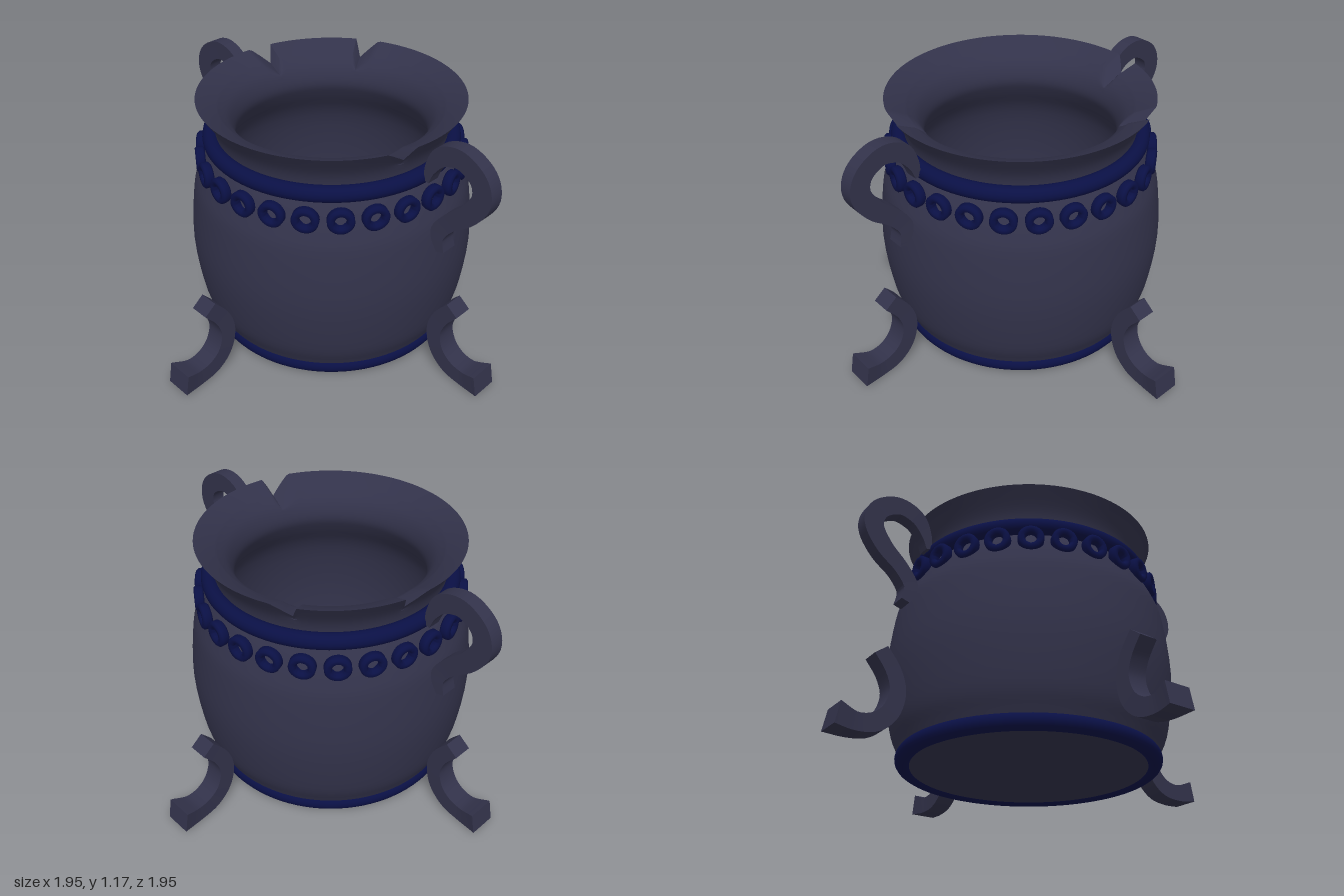
import * as THREE from 'three';
import { toCreasedNormals } from 'three/addons/utils/BufferGeometryUtils.js';

const iron = new THREE.MeshStandardMaterial({ color: 0x32324a });
const navy = new THREE.MeshStandardMaterial({ color: 0x0a1045 });

const vectors = (list) => list.map(([x, y]) => new THREE.Vector2(x, y));
const smooth = (list, n) => new THREE.SplineCurve(vectors(list)).getPoints(n);

function mesh(name, geometry, material) {
  const m = new THREE.Mesh(geometry, material);
  m.name = name;
  return m;
}

// Rectangular bar swept along a path in the xy plane; stations are [x, y, thickness, width]
function sweptBar(stations, steps) {
  const path = new THREE.SplineCurve(vectors(stations));
  const size = new THREE.SplineCurve(vectors(stations.map((s) => [s[2], s[3]])));
  const pos = [], idx = [];
  for (let i = 0; i <= steps; i++) {
    const p = path.getPoint(i / steps), t = path.getTangent(i / steps), s = size.getPoint(i / steps);
    for (const [a, b] of [[1, 1], [-1, 1], [-1, -1], [1, -1]]) {
      pos.push(p.x - t.y * a * s.x / 2, p.y + t.x * a * s.x / 2, b * s.y / 2);
    }
    if (i === steps) break;
    for (let j = 0; j < 4; j++) {
      const a = i * 4 + j, b = i * 4 + (j + 1) % 4;
      idx.push(a, b, b + 4, a, b + 4, a + 4);
    }
  }
  const e = steps * 4;
  idx.push(3, 2, 1, 3, 1, 0, e, e + 1, e + 2, e, e + 2, e + 3);
  const g = new THREE.BufferGeometry();
  g.setAttribute('position', new THREE.Float32BufferAttribute(pos, 3));
  g.setIndex(idx);
  return toCreasedNormals(g, 0.7);
}

// Thick pot wall with three V-shaped chips in the flared rim
function potGeometry() {
  const outer = smooth([[0.57, 0.02], [0.6, 0.09], [0.64, 0.2], [0.667, 0.45], [0.645, 0.7], [0.615, 0.8],
    [0.575, 0.88], [0.535, 0.94], [0.527, 0.99], [0.545, 1.06], [0.605, 1.155]], 40);
  const inner = smooth([[0.515, 1.115], [0.46, 1.06], [0.436, 0.98], [0.47, 0.9], [0.56, 0.74],
    [0.59, 0.45], [0.55, 0.18], [0.46, 0.08]], 28);
  const profile = [new THREE.Vector2(0, 0.02), ...outer, ...inner, new THREE.Vector2(0, 0.08)];
  const g = new THREE.LatheGeometry(profile, 240);
  const p = g.attributes.position;
  // [angle, spread below, spread above] in degrees
  const chips = [[103.5, 2.5, 10], [-78, 8, 3], [-30, 3, 8]];
  for (let i = 0; i < p.count; i++) {
    const x = p.getX(i), y = p.getY(i), z = p.getZ(i), r = Math.hypot(x, z);
    if (y < 1.05) continue;
    const angle = THREE.MathUtils.radToDeg(Math.atan2(z, x));
    let cut = 0;
    for (const [at, low, high] of chips) {
      const d = angle - at;
      cut = Math.max(cut, 1 - (d < 0 ? -d / low : d / high));
    }
    cut *= Math.min(1, (y - 1.05) / 0.08);
    const k = (r - 0.05 * cut) / r;
    p.setXYZ(i, x * k, y - 0.075 * cut, z * k);
  }
  return toCreasedNormals(g, 0.6);
}

export function createModel() {
  const model = new THREE.Group();
  model.add(mesh('pot', potGeometry(), iron));

  // Round bands at the base and neck
  for (const [name, radius, tube, y] of [['baseBand', 0.567, 0.038, 0.045], ['neckBand', 0.55, 0.037, 0.967]]) {
    const band = mesh(name, new THREE.TorusGeometry(radius, tube, 16, 96).rotateX(Math.PI / 2), navy);
    band.position.y = y;
    model.add(band);
  }

  // Chain of small rings around the shoulder
  const ringProfile = vectors([[0.026, -0.012], [0.034, -0.022], [0.05, -0.022], [0.058, -0.014],
    [0.058, 0.014], [0.05, 0.022], [0.034, 0.022], [0.026, 0.012], [0.026, -0.012]]);
  const ringGeometry = toCreasedNormals(new THREE.LatheGeometry(ringProfile, 28).rotateX(Math.PI / 2), 0.9);
  const rings = new THREE.Group();
  rings.name = 'shoulderRings';
  for (let i = 0; i < 26; i++) {
    const a = (i / 26) * Math.PI * 2;
    const ring = mesh('shoulderRing', ringGeometry, navy);
    ring.position.set(0.603 * Math.sin(a), 0.87, 0.603 * Math.cos(a));
    ring.rotation.y = a;
    rings.add(ring);
  }
  model.add(rings);

  // Four C-shaped feet
  const footGeometry = sweptBar([[0.795, 0.388, 0.072, 0.09], [0.735, 0.31, 0.075, 0.09],
    [0.707, 0.22, 0.076, 0.092], [0.732, 0.125, 0.08, 0.095], [0.795, 0.065, 0.082, 0.095],
    [0.88, 0.048, 0.08, 0.1], [0.968, 0.065, 0.1, 0.128]], 36);
  for (let i = 0; i < 4; i++) {
    const foot = mesh('foot', footGeometry, iron);
    foot.rotation.y = i * Math.PI / 2;
    if (i % 2) foot.position.x = -0.012;
    model.add(foot);
  }

  // Front and back scroll handles
  const handleGeometry = sweptBar([[0.592, 0.96, 0.025, 0.06], [0.608, 1.03, 0.055, 0.06],
    [0.66, 1.105, 0.085, 0.062], [0.755, 1.13, 0.09, 0.064], [0.848, 1.078, 0.092, 0.066],
    [0.872, 0.99, 0.094, 0.066], [0.815, 0.895, 0.09, 0.066], [0.725, 0.815, 0.078, 0.066],
    [0.673, 0.735, 0.072, 0.07], [0.697, 0.655, 0.04, 0.078]], 56);
  for (const [name, turn] of [['frontHandle', -1], ['backHandle', 1]]) {
    const handle = mesh(name, handleGeometry, iron);
    handle.rotation.y = turn * Math.PI / 2;
    handle.position.x = -0.01;
    model.add(handle);
  }
  return model;
}
